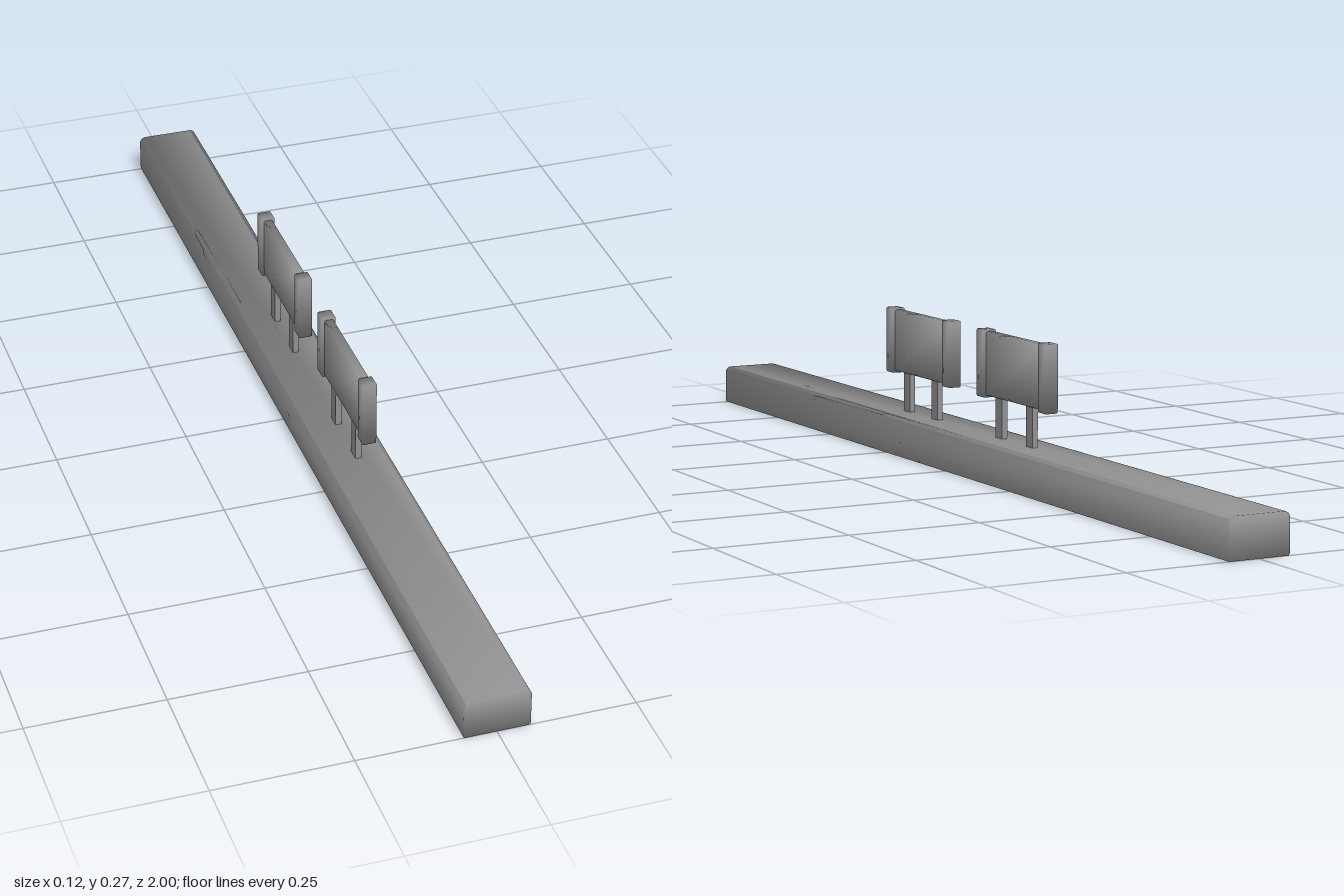
import * as THREE from 'three';
import { RoundedBoxGeometry } from 'three/addons/geometries/RoundedBoxGeometry.js';
import { toCreasedNormals } from 'three/addons/utils/BufferGeometryUtils.js';

const material = new THREE.MeshStandardMaterial({ color: 0x909090 });

// Soft shading that also runs across right-angled edges
const soften = (geometry) => toCreasedNormals(geometry, Math.PI * 0.6);

function addMesh(parent, name, geometry, x, y, z) {
  const mesh = new THREE.Mesh(geometry, material);
  mesh.name = name;
  mesh.position.set(x, y, z);
  parent.add(mesh);
}

// Long beam: cross-section with large top and small bottom corner radii
function beamGeometry(w, height, length, topR, bottomR) {
  const s = new THREE.Shape();
  s.moveTo(-w + bottomR, 0);
  s.absarc(w - bottomR, bottomR, bottomR, -Math.PI / 2, 0);
  s.absarc(w - topR, height - topR, topR, 0, Math.PI / 2);
  s.absarc(-w + topR, height - topR, topR, Math.PI / 2, Math.PI);
  s.absarc(-w + bottomR, bottomR, bottomR, Math.PI, Math.PI * 1.5);
  const g = new THREE.ExtrudeGeometry(s, { depth: length, bevelEnabled: false, curveSegments: 4 });
  g.translate(0, 0, -length / 2);
  return soften(g);
}

// Upright board with thicker end caps on two legs
function createBoard(name, z) {
  const board = new THREE.Group();
  board.name = name;
  board.position.z = z;
  addMesh(board, 'panel', soften(new RoundedBoxGeometry(0.018, 0.12, 0.23, 1, 0.004)), 0, 0.209, 0);
  for (const side of [-1, 1]) {
    addMesh(board, 'endCap', soften(new RoundedBoxGeometry(0.027, 0.127, 0.03, 1, 0.003)), 0, 0.2085, side * 0.1175);
    addMesh(board, 'leg', new THREE.BoxGeometry(0.011, 0.09, 0.025), 0, 0.113, side * 0.058);
  }
  return board;
}

export function createModel() {
  const model = new THREE.Group();
  model.name = 'beamWithBoards';
  addMesh(model, 'beam', beamGeometry(0.06, 0.075, 2, 0.012, 0.004), 0, 0, 0);
  model.add(createBoard('frontBoard', 0.2), createBoard('rearBoard', -0.175));
  return model;
}
